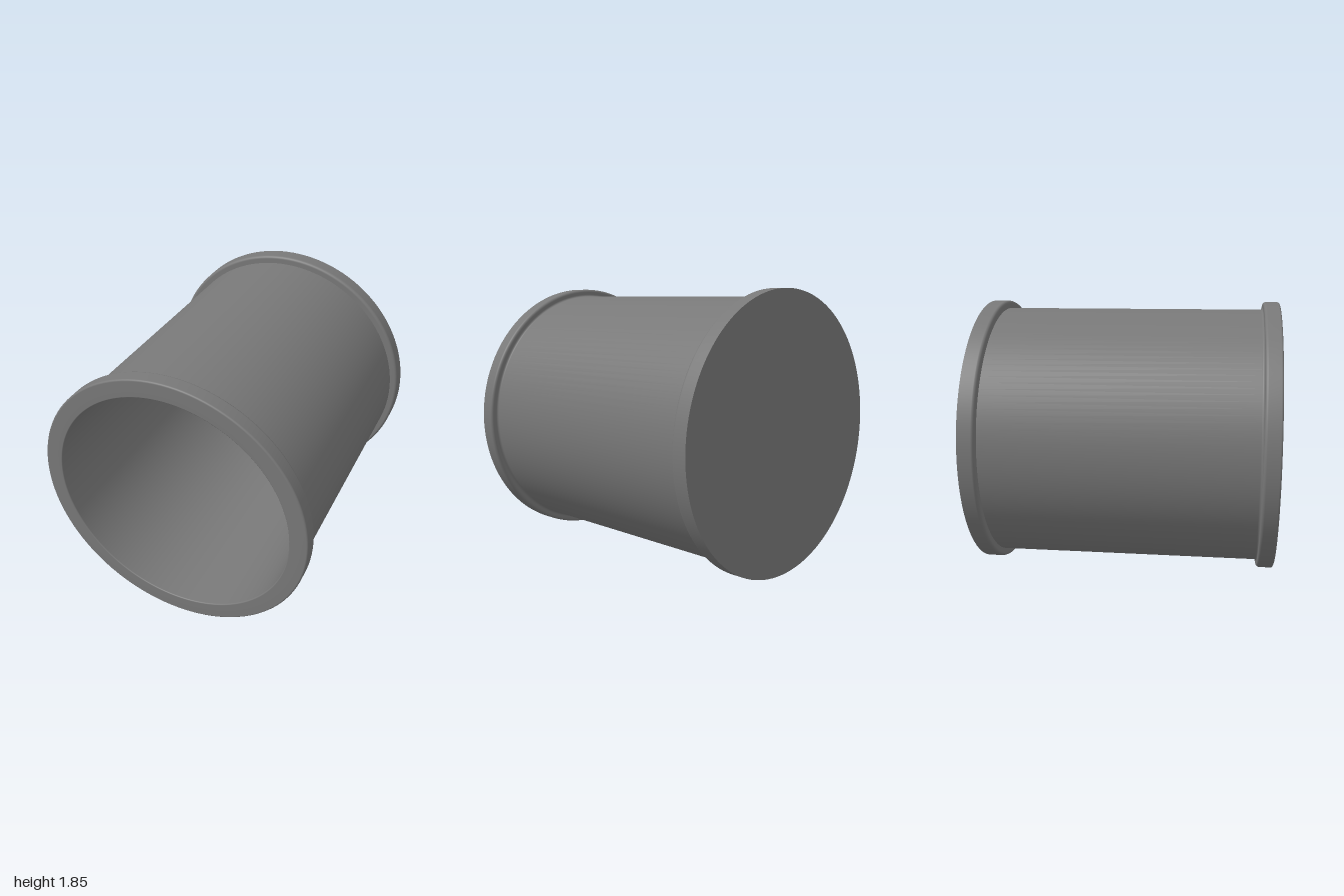
import * as THREE from 'three';

const R_FLANGE = 0.927, R_BODY = 0.875, R_BORE = 0.806;
const material = new THREE.MeshStandardMaterial({ color: 0x787878 });

// Rounded profile corner: centre, radius, start and end angle in degrees
function arc(cx, cy, r, from, to, steps = 6) {
  return Array.from({ length: steps + 1 }, (_, i) => {
    const a = THREE.MathUtils.degToRad(from + ((to - from) * i) / steps);
    return [cx + r * Math.cos(a), cy + r * Math.sin(a)];
  });
}

// Revolve a [radius, z] profile about the z axis, smooth along its length
function turned(name, profile) {
  const points = profile.map(([r, z]) => new THREE.Vector2(r, z));
  const geometry = new THREE.LatheGeometry(points, 128).rotateX(Math.PI / 2);
  geometry.normalizeNormals();
  const mesh = new THREE.Mesh(geometry, material);
  mesh.name = name;
  return mesh;
}

export function createModel() {
  const group = new THREE.Group();
  group.name = 'flangedCup';

  // Flat back, meeting the flange at a sharp edge
  group.add(turned('backFace', [[0, -1], [R_FLANGE, -1]]));

  // Back flange, rounded towards the wall
  group.add(turned('backFlange', [
    [R_FLANGE, -1],
    ...arc(R_FLANGE - 0.02, -0.91, 0.02, 0, 90),
    [R_BODY, -0.89],
  ]));

  // Cylindrical outer wall, flaring softly into the front rim
  group.add(turned('outerWall', [
    [R_BODY, -0.89],
    ...arc(R_BODY + 0.015, 0.875, 0.015, 180, 90),
  ]));

  // Front rim, rounded on every edge
  group.add(turned('frontRim', [
    [R_BODY + 0.015, 0.89],
    ...arc(R_FLANGE - 0.02, 0.91, 0.02, -90, 0),
    ...arc(R_FLANGE - 0.012, 0.988, 0.012, 0, 90),
    ...arc(R_BORE + 0.008, 0.992, 0.008, 90, 180),
  ]));

  // Bore and filleted floor
  group.add(turned('innerLining', [
    [R_BORE, 0.992],
    ...arc(R_BORE - 0.035, -0.895, 0.035, 0, -90),
    [0, -0.93],
  ]));

  group.position.y = R_FLANGE;
  return group;
}
